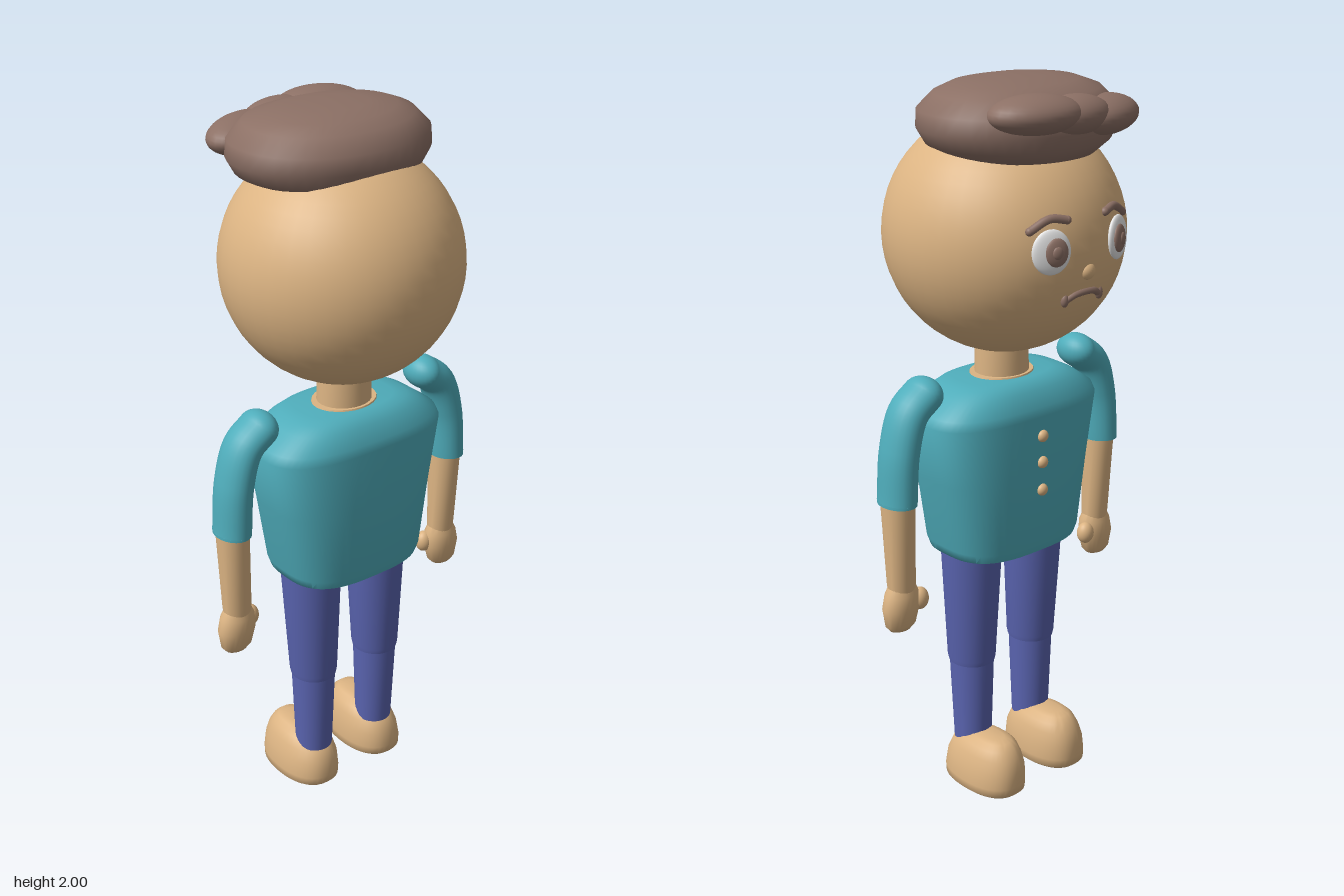
import * as THREE from 'three';
import { toCreasedNormals } from 'three/addons/utils/BufferGeometryUtils.js';

const mat = (name, color) => {
  const m = new THREE.MeshStandardMaterial({ color });
  m.name = name;
  return m;
};

// Closed loft through horizontal rings [y, rx, rz, cx, cz]; n is the superellipse power
function loft(rings, n = 2, seg = 40, crease = 0.7) {
  const pos = [], idx = [], last = rings.length - 1;
  const pw = v => Math.sign(v) * Math.pow(Math.abs(v), 2 / n);
  for (const [y, rx, rz, cx = 0, cz = 0] of rings)
    for (let i = 0; i < seg; i++) {
      const a = (i / seg) * Math.PI * 2;
      pos.push(cx + rx * pw(Math.cos(a)), y, cz + rz * pw(Math.sin(a)));
    }
  for (const r of [rings[0], rings[last]]) pos.push(r[3] || 0, r[0], r[4] || 0);
  const bottom = rings.length * seg, top = bottom + 1;
  for (let i = 0; i < seg; i++) {
    const j = (i + 1) % seg;
    for (let k = 0; k < last; k++) {
      const a = k * seg + i, b = k * seg + j;
      idx.push(a, a + seg, b, b, a + seg, b + seg);
    }
    idx.push(bottom, i, j, top, last * seg + j, last * seg + i);
  }
  const g = new THREE.BufferGeometry();
  g.setAttribute('position', new THREE.Float32BufferAttribute(pos, 3));
  g.setIndex(idx);
  return toCreasedNormals(g, crease);
}

export function createModel() {
  const model = new THREE.Group();
  model.name = 'figure';
  const skin = mat('skin tan', 0xdcb483);
  const teal = mat('shirt teal', 0x4fadbb);
  const blue = mat('trouser blue', 0x5a64b0);
  const brown = mat('hair brown', 0x8c7065);
  const white = mat('eye white', 0xe6e6e6);

  const add = (name, geo, material, parent = model) => {
    const m = new THREE.Mesh(geo, material);
    m.name = name;
    parent.add(m);
    return m;
  };
  const ball = (name, material, p, r, parent = model) => {
    const m = add(name, new THREE.SphereGeometry(1, 28, 18), material, parent);
    m.position.set(...p);
    m.scale.set(...r);
    return m;
  };

  // Head, neck and collar opening
  const R = 0.32, headY = 1.6;
  add('head', new THREE.SphereGeometry(R, 40, 28), skin).position.y = headY;
  add('neck', loft([[1.17, 0.078, 0.072], [1.31, 0.074, 0.068]], 2, 24), skin).position.z = 0.01;
  add('collar', loft([[1.19, 0.1, 0.085], [1.214, 0.092, 0.078]], 2, 24), skin).position.z = 0.01;

  // Hair cap with three overlapping locks over the forehead
  add('hairCap', loft([
    [1.815, 0.19, 0.17, 0, -0.07], [1.845, 0.25, 0.21, 0, -0.055], [1.885, 0.275, 0.222, 0, -0.052],
    [1.93, 0.272, 0.218, 0, -0.05], [1.97, 0.232, 0.18, 0, -0.05], [1.99, 0.18, 0.13, 0, -0.04],
    [2.0, 0.1, 0.07, 0, -0.035]], 2.1, 40, 1.0), brown);
  ball('hairLock', brown, [-0.14, 1.91, -0.215], [0.13, 0.05, 0.08]).rotation.y = 0.35;
  ball('hairLock', brown, [-0.015, 1.925, -0.235], [0.11, 0.05, 0.07]);
  ball('hairLock', brown, [0.1, 1.937, -0.222], [0.125, 0.05, 0.08]).rotation.y = -0.3;

  // Face features sit on the head, facing -z
  const faceGroup = (name, x, y) => {
    const g = new THREE.Group();
    g.name = name;
    const z = -Math.sqrt(R * R - x * x - (y - headY) ** 2);
    g.position.set(x, y, z);
    g.lookAt(2 * x, 2 * y - headY, 2 * z);
    model.add(g);
    return g;
  };
  const onHead = (x, y) => new THREE.Vector3(x, y, -Math.sqrt(R * R - x * x - (y - headY) ** 2));
  for (const s of [1, -1]) {
    const eye = faceGroup(s > 0 ? 'leftEye' : 'rightEye', s * 0.115, 1.615);
    ball('eyeWhite', white, [0, 0, 0], [0.052, 0.057, 0.014], eye);
    ball('iris', brown, [s * 0.01, 0, 0.01], [0.031, 0.036, 0.011], eye);
    ball('pupil', brown, [s * 0.01, 0, 0.019], [0.014, 0.016, 0.006], eye);
    const browPath = new THREE.CatmullRomCurve3([
      onHead(s * 0.065, 1.688), onHead(s * 0.11, 1.694), onHead(s * 0.16, 1.668)]);
    add('eyebrow', new THREE.TubeGeometry(browPath, 14, 0.011, 10), brown);
    for (const t of [0, 1]) ball('eyebrowEnd', brown, browPath.getPoint(t).toArray(), [0.011, 0.011, 0.011]);
  }
  ball('nose', skin, [0, 1.55, -0.308], [0.023, 0.023, 0.018]);
  const mouthPath = new THREE.CatmullRomCurve3([
    onHead(-0.06, 1.477), onHead(-0.03, 1.493), onHead(0.03, 1.493), onHead(0.06, 1.477)]);
  add('mouth', new THREE.TubeGeometry(mouthPath, 20, 0.009, 10), brown);
  for (const s of [1, -1]) ball('mouthCorner', brown, onHead(s * 0.06, 1.48).toArray(), [0.011, 0.017, 0.01]);

  // Shirt body and buttons
  add('torso', loft([
    [0.715, 0.18, 0.12], [0.725, 0.205, 0.15], [0.75, 0.213, 0.158], [0.95, 0.247, 0.16],
    [1.12, 0.282, 0.16], [1.145, 0.27, 0.156], [1.185, 0.215, 0.13], [1.203, 0.18, 0.112],
    [1.21, 0.14, 0.09]], 2.9, 56, 0.9), teal).position.z = 0.007;
  for (const y of [1.065, 0.99, 0.91]) ball('button', skin, [0, y, -0.153], [0.017, 0.017, 0.014]);

  for (const s of [1, -1]) {
    const side = s > 0 ? 'left' : 'right';

    // Arm: bent sleeve, forearm, hand and thumb
    const arm = new THREE.Group();
    arm.name = side + 'Arm';
    arm.position.z = 0.006;
    model.add(arm);
    const path = new THREE.CatmullRomCurve3([[0.278, 1.208], [0.328, 1.168], [0.36, 1.07], [0.372, 0.93]]
      .map(([x, y]) => new THREE.Vector3(s * x, y, 0)));
    add('sleeve', new THREE.TubeGeometry(path, 28, 0.047, 24), teal, arm).scale.z = 1.32;
    ball('shoulder', teal, [s * 0.278, 1.208, 0], [0.047, 0.047, 0.062], arm);
    add('cuff', loft([[0.928, 0.047, 0.062, s * 0.372], [0.936, 0.047, 0.062, s * 0.372]], 2, 24), teal, arm);
    add('forearm', loft([[0.66, 0.038, 0.034, s * 0.364], [0.7, 0.041, 0.036, s * 0.365],
      [0.94, 0.044, 0.05, s * 0.371]], 2, 24), skin, arm);
    add('hand', loft([[0.56, 0.032, 0.022, s * 0.372], [0.575, 0.046, 0.032, s * 0.371],
      [0.625, 0.056, 0.041, s * 0.368], [0.665, 0.05, 0.039, s * 0.365],
      [0.695, 0.036, 0.028, s * 0.364]], 2, 24, 1.1), skin, arm);
    ball('thumb', skin, [s * 0.315, 0.637, -0.014], [0.026, 0.032, 0.024], arm);

    // Leg: thigh and slimmer shin
    add(side + 'Thigh', loft([[0.375, 0.064, 0.067, s * 0.113, 0.012], [0.39, 0.067, 0.07, s * 0.113, 0.012],
      [0.74, 0.087, 0.084, s * 0.115, 0.007]], 2, 28), blue);
    add(side + 'Shin', loft([[0.12, 0.052, 0.055, s * 0.112, 0.01],
      [0.39, 0.062, 0.065, s * 0.113, 0.012]], 2, 28), blue);

    // Rounded shoe with the toe towards -z
    add(side + 'Shoe', loft([
      [0.003, 0.076, 0.122, s * 0.117, -0.048], [0.012, 0.086, 0.132, s * 0.117, -0.048],
      [0.035, 0.087, 0.133, s * 0.117, -0.048], [0.08, 0.081, 0.13, s * 0.115, -0.05],
      [0.115, 0.071, 0.117, s * 0.114, -0.053], [0.14, 0.059, 0.095, s * 0.113, -0.06],
      [0.155, 0.042, 0.066, s * 0.113, -0.072], [0.16, 0.025, 0.04, s * 0.113, -0.075]], 2.3, 36, 1.0), skin);
  }
  return model;
}
